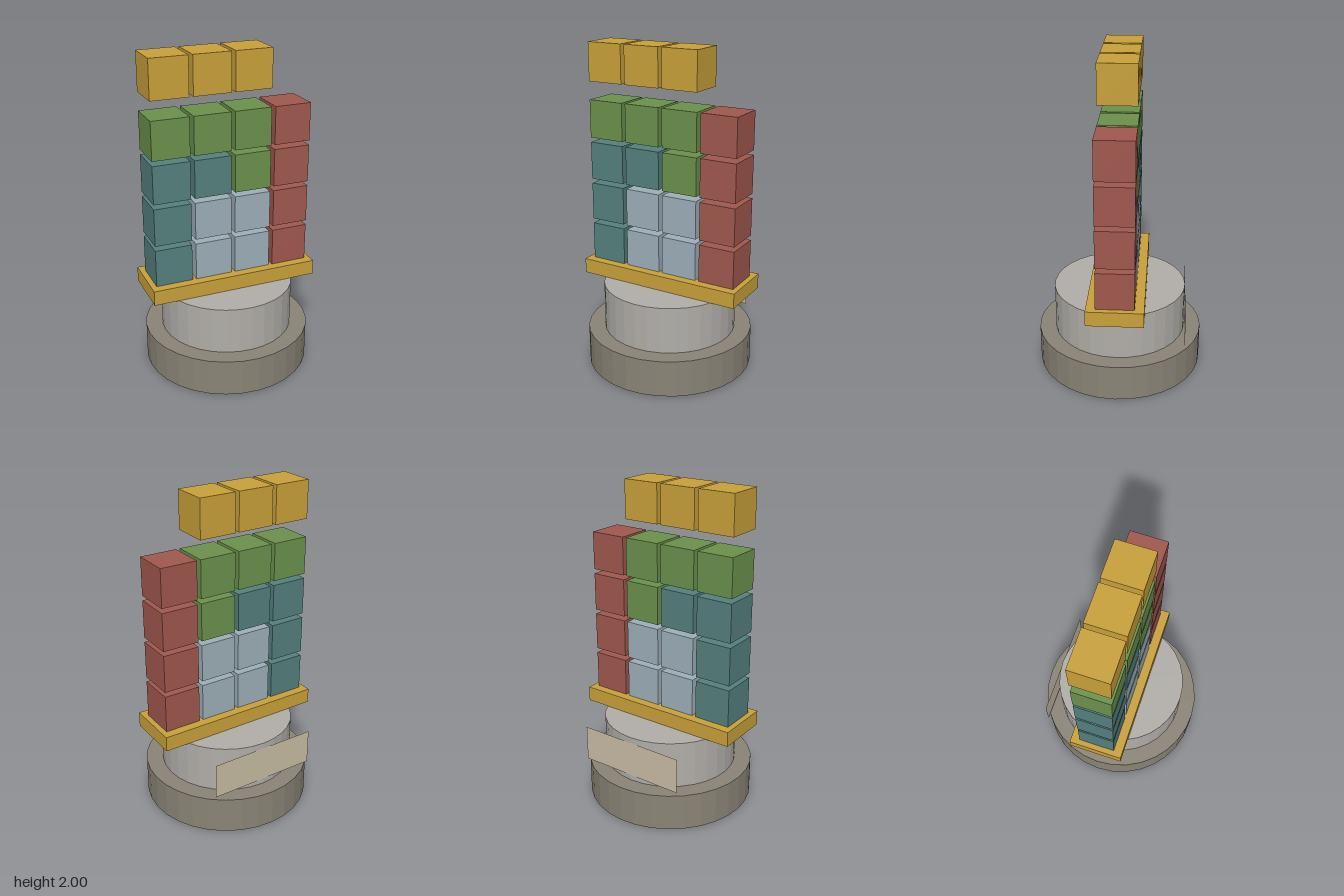
import * as THREE from 'three';

function flat(name, color, side = THREE.FrontSide) {
  const m = new THREE.MeshStandardMaterial({ color, side, flatShading: true });
  m.name = name;
  return m;
}

export function createModel() {
  const group = new THREE.Group();
  const mats = {
    Y: flat('yellow', 0xc9a13a),
    G: flat('green', 0x6b914d),
    T: flat('teal', 0x54807e),
    B: flat('paleBlue', 0x9dafb9),
    R: flat('red', 0xa0584e),
    stone: flat('darkStone', 0x8a8476),
    drum: flat('lightStone', 0xb1aea9),
    plaque: flat('plaque', 0xc8bca4, THREE.DoubleSide),
  };
  const add = (name, geometry, material, x, y, z) => {
    const mesh = new THREE.Mesh(geometry, material);
    mesh.name = name;
    mesh.position.set(x, y, z);
    group.add(mesh);
    return mesh;
  };

  // Round pedestal in two steps
  add('base', new THREE.CylinderGeometry(0.521, 0.521, 0.232, 32), mats.stone, 0, 0.116, 0);
  add('drum', new THREE.CylinderGeometry(0.416, 0.416, 0.294, 32), mats.drum, 0, 0.379, 0);

  // Blank plaque standing against the back of the drum
  add('plaque', new THREE.PlaneGeometry(0.69, 0.224), mats.plaque, 0, 0.379, -0.418).rotation.y = Math.PI;

  // Tray carrying the blocks
  add('tray', new THREE.BoxGeometry(1.066, 0.094, 0.344), mats.Y, 0, 0.573, 0);

  // Block wall, bottom row first, with a raised row on top
  const rows = ['TBBR', 'TBBR', 'TTGR', 'GGGR', 'YYY'];
  const bottoms = [0.62, 0.886, 1.151, 1.416, 1.764];
  const block = new THREE.BoxGeometry(0.231, 0.236, 0.231);
  rows.forEach((row, r) => [...row].forEach((key, c) => {
    add(`block_${r}_${c}`, block, mats[key], (c - 1.5) * 0.2555, bottoms[r] + 0.118, 0);
  }));

  return group;
}
